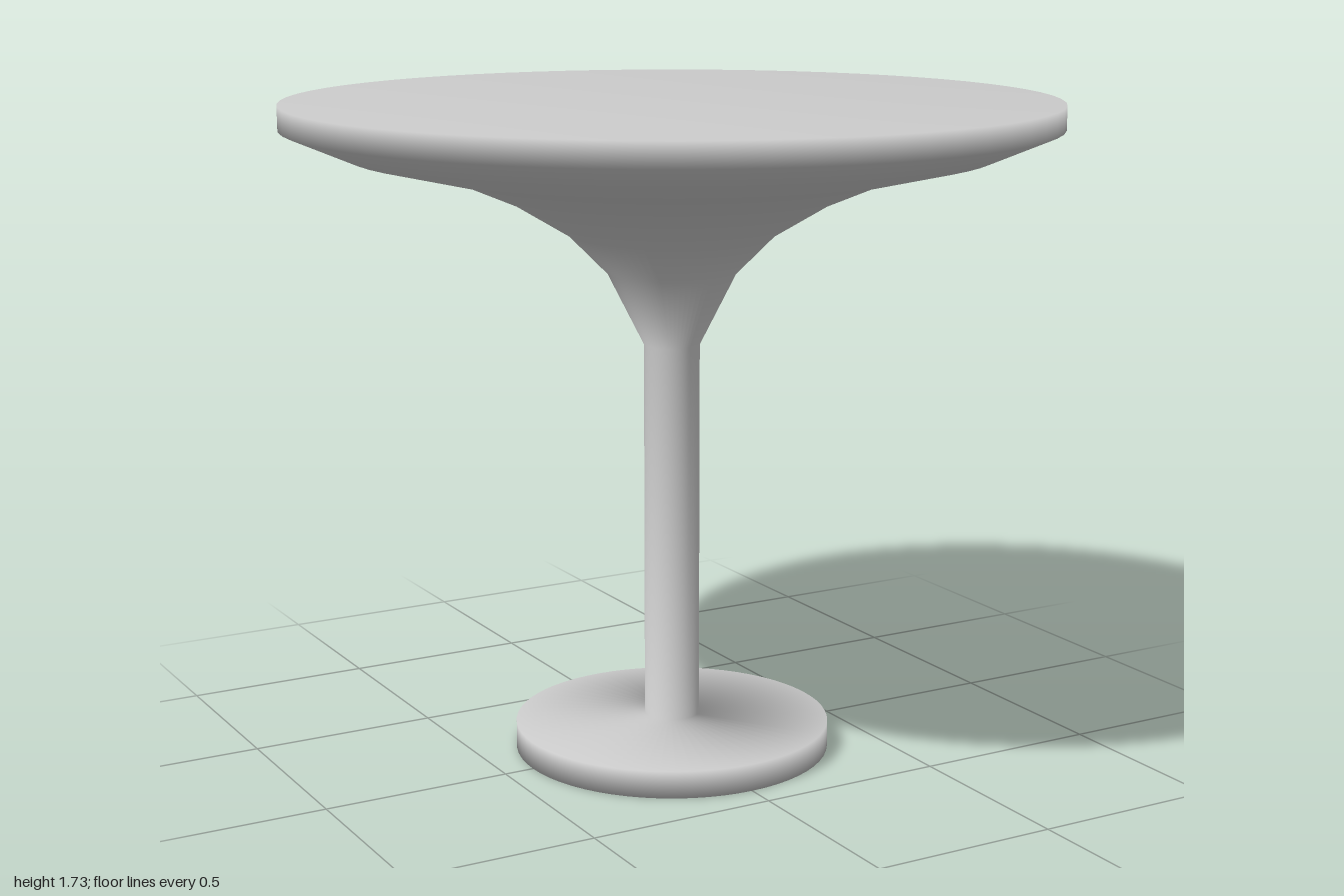
import * as THREE from 'three';

const SIDES = 64;

// Half outline from the floor up; the first and last points lie on the axis
const PROFILE = [
  [0, 0],
  [0.42, 0], [0.42, 0.072],                          // base disc
  [0.073, 0.088], [0.073, 1.098],                    // column
  [0.168, 1.287], [0.27, 1.39], [0.415, 1.477],      // trumpet flare
  [0.56, 1.538], [0.835, 1.602], [1, 1.672],
  [1, 1.734],                                        // table rim
  [0, 1.734],
].map(([r, y]) => new THREE.Vector2(r, y));

export function createModel() {
  const table = new THREE.Group();
  table.name = 'pedestalTable';

  const material = new THREE.MeshStandardMaterial({ color: 0xcccccc });
  const lathe = new THREE.LatheGeometry(PROFILE, SIDES);
  const at = (side, ring) => side * PROFILE.length + ring;

  // Wall between two rings of the profile; parts share normals so joints stay smooth
  function wall(from, to) {
    const index = [];
    for (let s = 0; s < SIDES; s++) {
      for (let r = from; r < to; r++) {
        const a = at(s, r), b = at(s + 1, r), c = at(s + 1, r + 1), d = at(s, r + 1);
        index.push(a, b, d, c, d, b);
      }
    }
    return index;
  }

  // Flat disc fanned across one ring, softly shaded from rim to rim
  function cap(ring, up) {
    const index = [];
    for (let s = 1; s < SIDES - 1; s++) {
      const p = at(s, ring), q = at(s + 1, ring);
      index.push(at(0, ring), up ? p : q, up ? q : p);
    }
    return index;
  }

  function addPart(name, index) {
    const geometry = new THREE.BufferGeometry();
    for (const key of ['position', 'normal', 'uv']) {
      geometry.setAttribute(key, lathe.getAttribute(key));
    }
    geometry.setIndex(index);
    const mesh = new THREE.Mesh(geometry, material);
    mesh.name = name;
    table.add(mesh);
  }

  addPart('base', [...cap(1, false), ...wall(1, 3)]);
  addPart('column', wall(3, 4));
  addPart('flare', wall(4, 10));
  addPart('tableTop', [...wall(10, 11), ...cap(11, true)]);

  return table;
}
